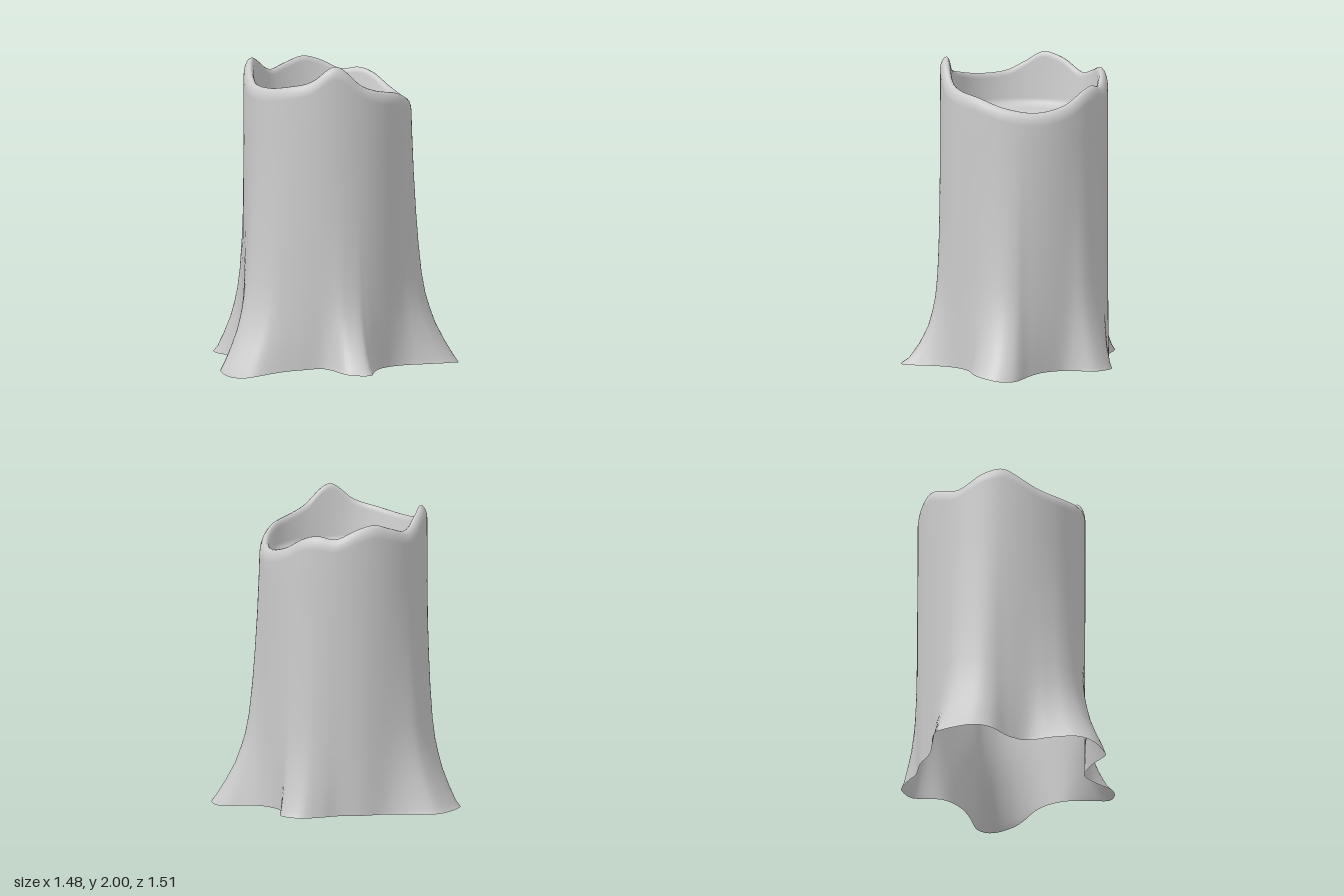
import * as THREE from 'three';

const CX = 0.08;          // trunk axis offset in x
const SEGMENTS = 160;
const TRUNK_R = 0.535;
const FLOOR_Y = 1.62;

// Ground outline of the flared roots (x, z), walked with increasing angle from +x
const ROOT_OUTLINE = [
  [0.61, 0.02], [0.6, 0.15], [0.64, 0.3], [0.72, 0.48], [0.68, 0.59], [0.56, 0.63], [0.44, 0.605],
  [0.3, 0.55], [0.18, 0.535], [0.05, 0.57], [-0.06, 0.66], [-0.17, 0.755], [-0.27, 0.68],
  [-0.265, 0.48], [-0.28, 0.39], [-0.4, 0.3], [-0.66, 0.18], [-0.71, 0.1], [-0.74, 0],
  [-0.71, -0.1], [-0.55, -0.2], [-0.39, -0.28], [-0.35, -0.4], [-0.36, -0.58], [-0.32, -0.67],
  [-0.24, -0.72], [-0.06, -0.76], [0, -0.73], [0.19, -0.55], [0.35, -0.47], [0.48, -0.37],
  [0.57, -0.34], [0.69, -0.28], [0.72, -0.23], [0.735, -0.13],
];

// Jagged rim height by angle in degrees
const RIM = [
  [-160, 1.85], [-148, 1.9], [-134, 1.965], [-120, 1.94], [-100, 1.855], [-85, 1.885], [-71, 1.92],
  [-58, 1.895], [-42, 1.835], [-28, 1.85], [-18, 1.83], [0, 1.75], [22, 1.71], [45, 1.735],
  [68, 1.795], [90, 1.83], [102, 1.87], [122, 2.0], [140, 1.9], [158, 1.86], [180, 1.835],
];

// Height and root-flare amount of each ring up the trunk
const FLARE = [
  [0, 1], [0.08, 0.88], [0.17, 0.7], [0.28, 0.51], [0.38, 0.39], [0.47, 0.3], [0.6, 0.22],
  [0.8, 0.15], [1, 0.1], [1.25, 0.05], [1.5, 0.015],
];

// Lip cross-section: radius and drop below the rim
const LIP = [
  [0.535, 0.08], [0.531, 0.05], [0.521, 0.022], [0.506, 0.004], [0.492, 0], [0.48, 0.01], [0.471, 0.035],
];

// Inner wall and cut face: radius and height above the floor
const HOLLOW = [[0.455, 0.05], [0.442, 0.025], [0.42, 0.006], [0.38, 0], [0.25, 0.004], [0.12, 0], [0.001, 0.002]];

// Periodic smooth interpolation of [degrees, value] keys
function periodic(keys) {
  const all = [-360, 0, 360].flatMap((shift) => keys.map(([d, v]) => [d + shift, v]));
  const curve = new THREE.CubicInterpolant(all.map((k) => k[0]), all.map((k) => k[1]), 1);
  return (deg) => curve.evaluate(deg)[0];
}

// Smooth surface through closed rings of equal point count
function loft(rings) {
  const n = rings[0].length;
  const index = [];
  for (let i = 0; i < rings.length - 1; i++) {
    for (let j = 0; j < n; j++) {
      const k = (j + 1) % n;
      const a = i * n + j, b = i * n + k, c = a + n, d = b + n;
      index.push(a, c, b, b, c, d);
    }
  }
  const geometry = new THREE.BufferGeometry();
  geometry.setAttribute('position', new THREE.Float32BufferAttribute(rings.flat(2), 3));
  geometry.setIndex(index);
  geometry.computeVertexNormals();
  return geometry;
}

export function createModel() {
  const group = new THREE.Group();
  group.name = 'treeStump';
  const material = new THREE.MeshStandardMaterial({ color: 0xcccccc, side: THREE.DoubleSide });

  const rimHeight = periodic(RIM);
  const bump = (deg, centre, width) => Math.exp(-(((deg - centre) / width) ** 2));

  // Polar samples of the root outline around the trunk axis
  const outline = new THREE.CatmullRomCurve3(
    ROOT_OUTLINE.map(([x, z]) => new THREE.Vector3(x, 0, z)), true, 'centripetal');
  const spokes = outline.getSpacedPoints(SEGMENTS).slice(0, SEGMENTS).map((p) => {
    const angle = Math.atan2(p.z, p.x - CX);
    const deg = THREE.MathUtils.radToDeg(angle);
    const wrapped = deg < -90 ? deg + 360 : deg;
    return {
      angle,
      radius: Math.hypot(p.x - CX, p.z),
      rim: rimHeight(deg),
      ground: 0.045 - 0.045 * bump(wrapped, 174, 13) - 0.025 * bump(wrapped, 38, 10) + 0.012 * bump(wrapped, 130, 12),
      falloff: 1 + 0.7 * bump(wrapped, 112, 20), // the front root drops away faster
    };
  });
  const point = (s, r, y) => [CX + r * Math.cos(s.angle), y, r * Math.sin(s.angle)];

  // Bark: flared roots rising to the trunk and over the rounded lip
  const bark = FLARE.map(([y, flare]) => spokes.map((s) =>
    point(s, TRUNK_R + (s.radius - TRUNK_R) * flare ** s.falloff, Math.max(y, s.ground))));
  const lip = LIP.map(([r, drop]) => spokes.map((s) => point(s, r, s.rim - drop)));

  // Hollow: inner wall down to the nearly flat cut face
  const hollow = HOLLOW.map(([r, h]) => spokes.map((s) => point(s, r, FLOOR_Y + h)));

  const trunk = new THREE.Mesh(loft([...bark, ...lip, ...hollow.slice(0, 4)]), material);
  trunk.name = 'trunkAndRoots';
  const cutFace = new THREE.Mesh(loft(hollow.slice(3)), material);
  cutFace.name = 'cutFace';
  group.add(trunk, cutFace);
  return group;
}
